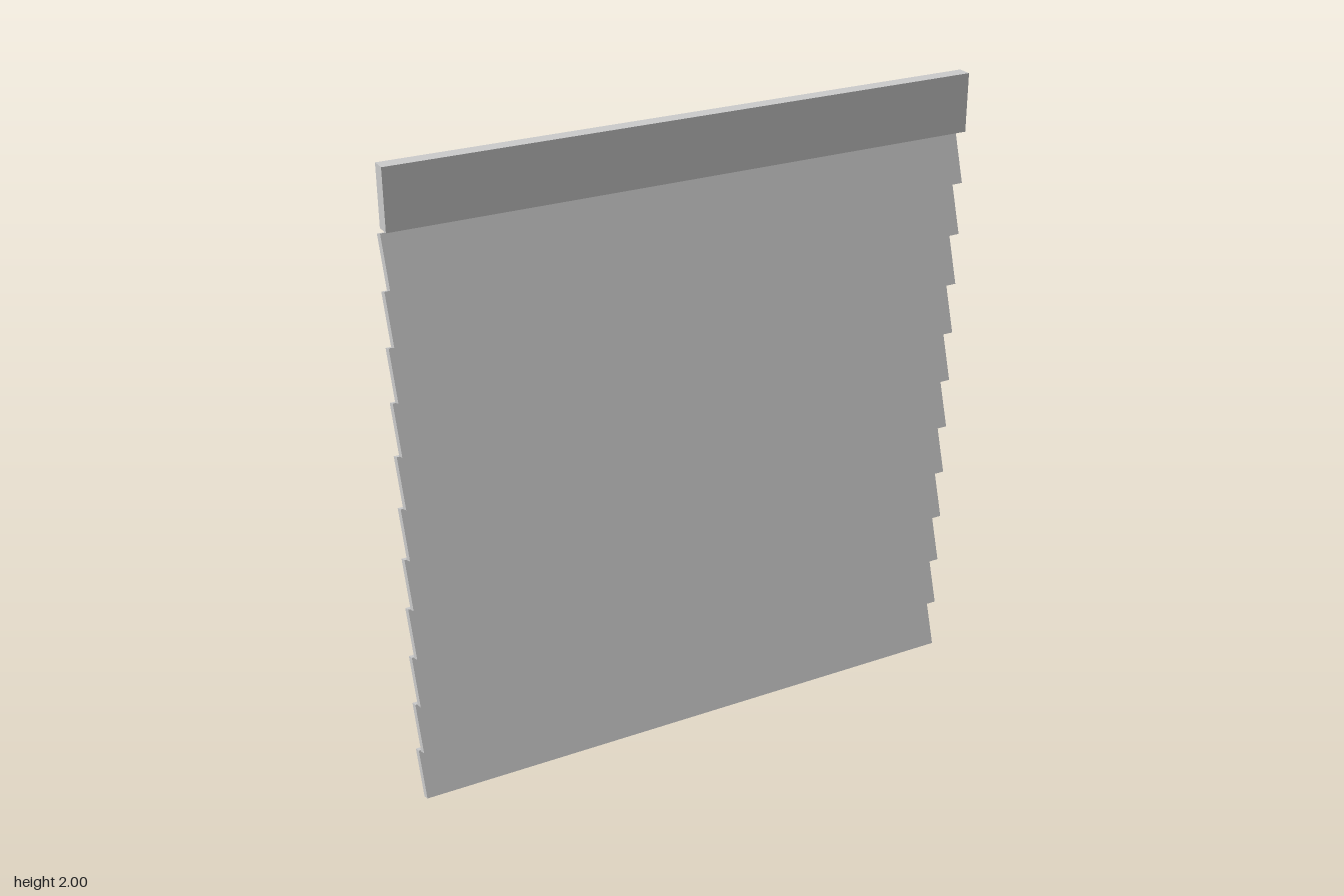
import * as THREE from 'three';

const WIDTH = 1.84;
const SLATS = 11;
const PITCH = 0.165;
const TILT = THREE.MathUtils.degToRad(18);

export function createModel() {
  const blind = new THREE.Group();
  blind.name = 'windowBlind';
  const material = new THREE.MeshStandardMaterial({ color: 0xcccccc });

  // Upright rail across the top
  const headRail = new THREE.Mesh(new THREE.BoxGeometry(WIDTH, 0.18, 0.045), material);
  headRail.name = 'headRail';
  headRail.position.set(0, 1.91, 0.014);
  blind.add(headRail);

  // Evenly spaced slats, lower edge tipped toward the front
  const slatGeometry = new THREE.BoxGeometry(WIDTH, 0.153, 0.027);
  for (let i = 0; i < SLATS; i++) {
    const slat = new THREE.Mesh(slatGeometry, material);
    slat.name = `slat${i + 1}`;
    slat.position.y = 0.077 + i * PITCH;
    slat.rotation.x = -TILT;
    blind.add(slat);
  }
  return blind;
}
